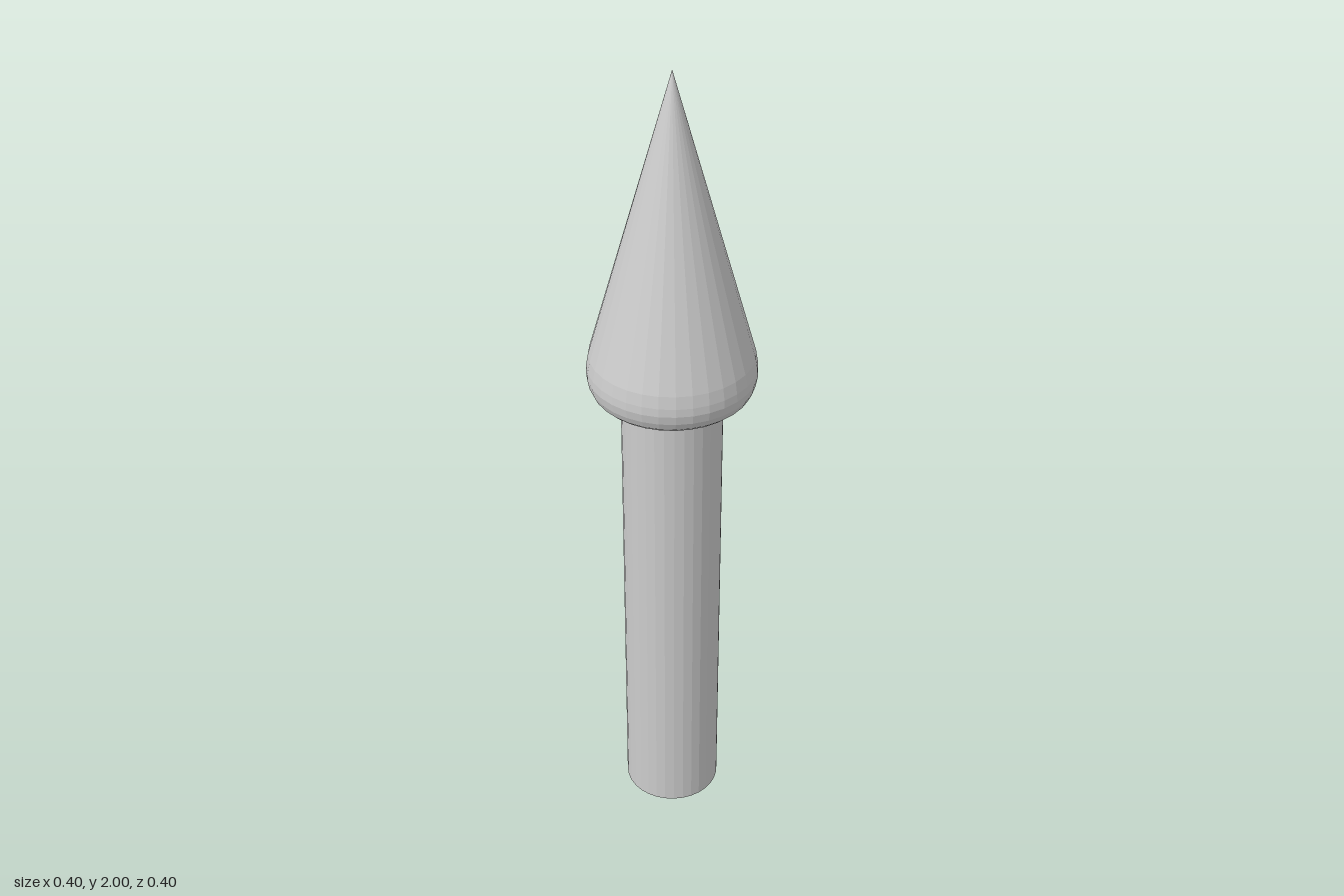
import * as THREE from 'three';

const SIDES = 32;

export function createModel() {
  const group = new THREE.Group();
  const material = new THREE.MeshStandardMaterial({ color: 0xcccccc, flatShading: true });

  const add = (name, geometry, y = 0) => {
    const mesh = new THREE.Mesh(geometry, material);
    mesh.name = name;
    mesh.position.y = y;
    group.add(mesh);
  };

  // Straight round shaft with closed ends
  const shaftHeight = 1.22;
  add('shaft', new THREE.CylinderGeometry(0.12, 0.12, shaftHeight, SIDES), shaftHeight / 2);

  // Pointed head: flat underside, rounded rim, then a straight cone
  const profile = [
    [0, 1.21], [0.16, 1.21], [0.175, 1.214], [0.187, 1.225], [0.195, 1.243],
    [0.199, 1.265], [0.198, 1.285], [0.193, 1.315], [0, 2],
  ].map(([r, y]) => new THREE.Vector2(r, y));
  add('pointedHead', new THREE.LatheGeometry(profile, SIDES));

  return group;
}
